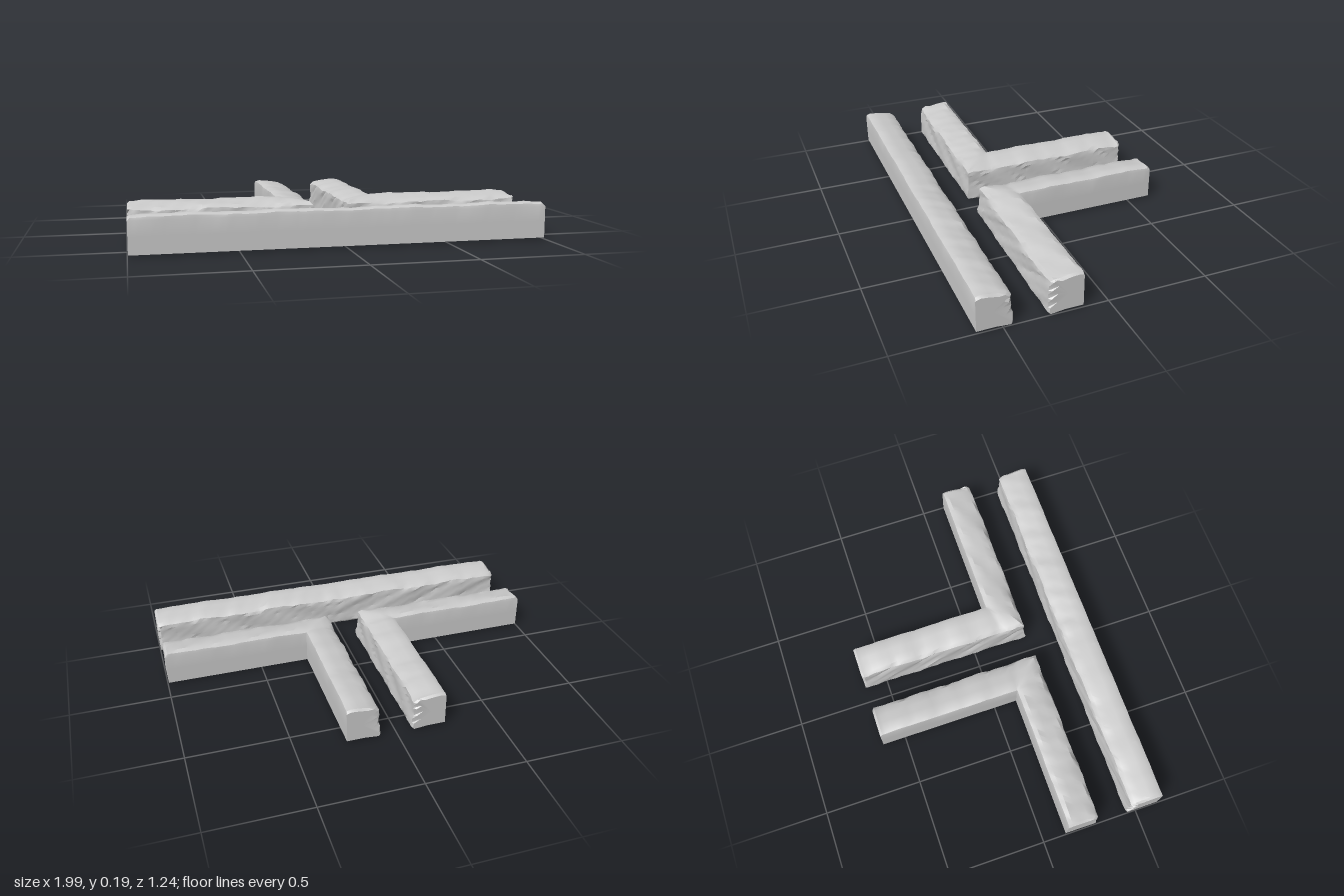
import * as THREE from 'three';
import { toCreasedNormals } from 'three/addons/utils/BufferGeometryUtils.js';

// Wall cross-section: [distance from the flat back, height, roughness, end notch depth]
const SECTION = [
  [0, 0.01, 0, 0], [0, 0.09, 0, 0], [0, 0.165, 0, 0], [0.003, 0.18, 0.4, 0],
  [0.025, 0.188, 0.5, 0], [0.065, 0.184, 0.5, 0], [0.105, 0.178, 0.6, 0],
  [0.142, 0.17, 0.7, 0.012], [0.16, 0.157, 0.7, 0.012], [0.163, 0.14, 0.8, 0.045],
  [0.163, 0.122, 0.8, 0.012], [0.164, 0.1, 0.8, 0.045], [0.165, 0.078, 0.8, 0.012],
  [0.166, 0.058, 0.8, 0.04], [0.169, 0.035, 0.6, 0.008], [0.17, 0.012, 0.5, 0.005],
  [0.163, 0.003, 0.4, 0.005], [0.09, 0.01, 0, 0],
];

// Smooth rocky variation along the wall
const noise = (s, k) =>
  0.6 * Math.sin(s * 17 + k * 0.9) + 0.4 * Math.sin(s * 41 + k * 2.3) + 0.35 * Math.sin(s * 83 + k * 4.1);

const MATERIAL = new THREE.MeshStandardMaterial({ color: 0xcccccc });

// Stations on a straight run; extra ones near an open end
function run(x0, z0, x1, z1, nx, nz, openStart, openEnd) {
  const length = Math.hypot(x1 - x0, z1 - z0);
  const count = Math.round(length / 0.033);
  const at = Array.from({ length: count + 1 }, (_, i) => i / count);
  if (openStart) at.splice(1, 0, 0.012 / length);
  if (openEnd) at.splice(at.length - 1, 0, 1 - 0.012 / length);
  return at.map((t, i) => ({
    x: x0 + (x1 - x0) * t, z: z0 + (z1 - z0) * t, nx, nz,
    end: (openStart && i === 0) || (openEnd && i === at.length - 1) ? 1 : 0,
  }));
}

// Sweeps the rough section along the stations and closes both ends
function wall(name, stations) {
  const positions = [], index = [], m = SECTION.length;
  stations.forEach((p) => {
    SECTION.forEach(([d, y, rough, notch], j) => {
      const s = Math.abs(p.x + p.nx * d) + 1.3 * (p.z + p.nz * d);
      const depth = d + 0.006 * rough * noise(s, j) * (d > 0.1 ? 1 : 0.5) - p.end * notch;
      const top = y > 0.15 ? 1 : 0.35;
      const height = y + 0.008 * rough * top * noise(s * 0.8, 5 + j * 0.5) - (p.end && y > 0.17 ? 0.011 : 0);
      positions.push(p.x + p.nx * depth, Math.max(0, height), p.z + p.nz * depth);
    });
  });
  const last = stations.length - 1;
  for (let i = 0; i < last; i++) {
    for (let j = 0; j < m; j++) {
      const k = (j + 1) % m;
      const a = i * m + j, b = a + m, c = (i + 1) * m + k, d = i * m + k;
      index.push(a, b, c, a, c, d);
    }
  }
  // End caps fan out from the middle of the section
  for (const i of [0, last]) {
    const p = stations[i], centre = positions.length / 3;
    positions.push(p.x + p.nx * 0.075, 0.09, p.z + p.nz * 0.075);
    for (let j = 0; j < m; j++) {
      const a = i * m + j, b = i * m + ((j + 1) % m);
      if (i === 0) index.push(centre, a, b);
      else index.push(centre, b, a);
    }
  }
  const geometry = new THREE.BufferGeometry();
  geometry.setAttribute('position', new THREE.Float32BufferAttribute(positions, 3));
  geometry.setIndex(index);
  const mesh = new THREE.Mesh(toCreasedNormals(geometry, 0.55), MATERIAL);
  mesh.name = name;
  return mesh;
}

// Path of a corner wall: side arm, mitred corner fan, back arm
function cornerPath() {
  const fan = [];
  for (let i = 1; i <= 5; i++) fan.push([-i / 5, 1]);
  for (let i = 4; i >= 1; i--) fan.push([-1, i / 5]);
  return [
    ...run(0.995, 0.12, 0.25, 0.12, 0, 1, true, false),
    ...fan.map(([nx, nz]) => ({ x: 0.25, z: 0.12, nx, nz, end: 0 })),
    ...run(0.25, 0.12, 0.25, -0.62, -1, 0, false, true),
  ];
}

export function createModel() {
  const group = new THREE.Group();
  group.name = 'junctionWalls';

  // Long straight wall with its flat side to the front
  group.add(wall('straightWall', run(-0.997, 0.62, 0.997, 0.62, 0, -1, true, true)));

  // Two mirrored corner walls, rough sides facing the passage
  const left = cornerPath();
  const right = left.map((p) => ({ ...p, x: -p.x, nx: -p.nx })).reverse();
  group.add(wall('leftCornerWall', left), wall('rightCornerWall', right));
  return group;
}
